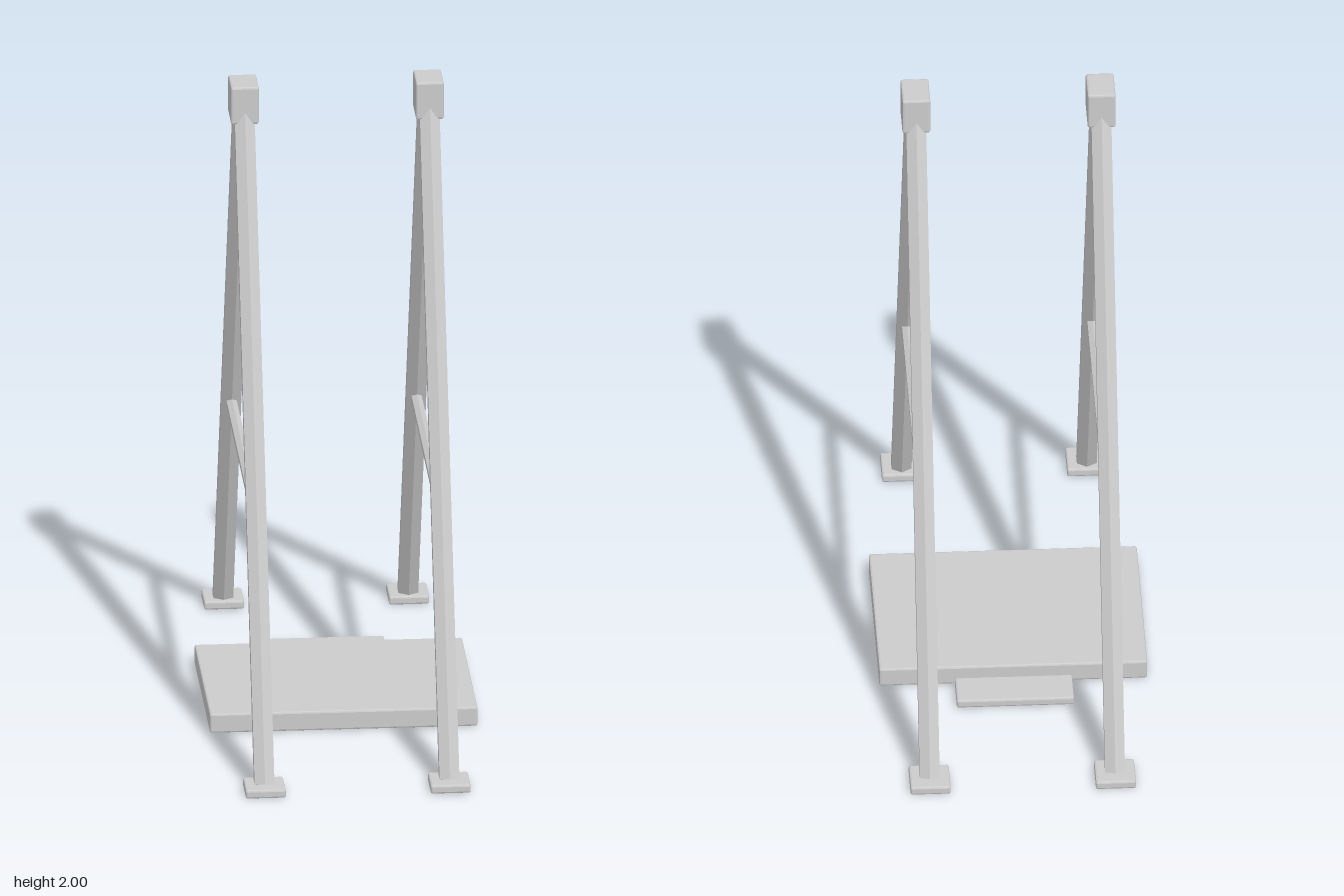
import * as THREE from 'three';
import { RoundedBoxGeometry } from 'three/addons/geometries/RoundedBoxGeometry.js';

export function createModel() {
  const model = new THREE.Group();
  model.name = 'frameStand';
  const material = new THREE.MeshStandardMaterial({ color: 0xcccccc, flatShading: true });

  // Box with slightly softened edges, standing on y = bottom
  function block(name, parent, [w, h, d], [x, bottom, z]) {
    const mesh = new THREE.Mesh(new RoundedBoxGeometry(w, h, d, 1, 0.006), material);
    mesh.position.set(x, bottom + h / 2, z);
    mesh.name = name;
    parent.add(mesh);
  }

  // Six-sided bar between two points in the plane of a side frame
  function bar(name, parent, radius, [y0, z0], [y1, z1]) {
    const dy = y1 - y0, dz = z1 - z0;
    const mesh = new THREE.Mesh(new THREE.CylinderGeometry(radius, radius, Math.hypot(dy, dz), 6), material);
    mesh.position.set(0, (y0 + y1) / 2, (z0 + z1) / 2);
    mesh.rotation.x = Math.atan2(dz, dy);
    mesh.name = name;
    parent.add(mesh);
  }

  // Two A-shaped side frames
  for (const [side, sx] of [['left', 1], ['right', -1]]) {
    const frame = new THREE.Group();
    frame.name = side + 'Frame';
    frame.position.x = sx * 0.282;
    for (const [end, sz] of [['front', 1], ['back', -1]]) {
      bar(end + 'Leg', frame, 0.035, [0.02, sz * 0.817], [1.94, sz * 0.013]);
      block(end + 'Foot', frame, [0.122, 0.027, 0.122], [0, 0, sz * 0.824]);
    }
    bar('crossbar', frame, 0.018, [0.78, -0.49], [0.78, 0.49]);
    block('topBlock', frame, [0.085, 0.12, 0.12], [0, 1.88, 0]);
    model.add(frame);
  }

  // Ground platform with a small step behind it
  block('platform', model, [0.816, 0.062, 0.612], [0, 0, 0]);
  block('rearStep', model, [0.357, 0.027, 0.125], [0, 0, -0.372]);

  return model;
}
